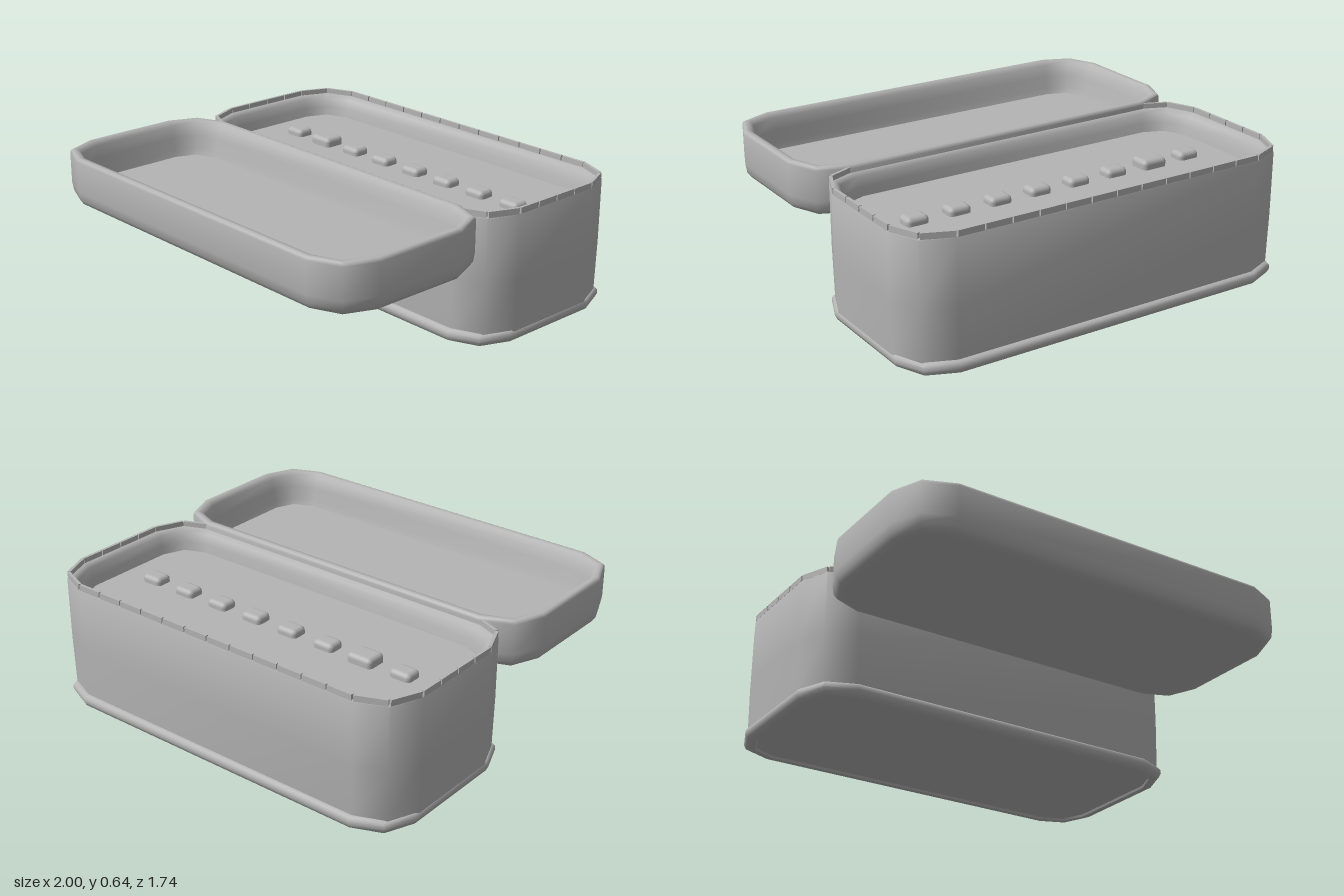
import * as THREE from 'three';
import { toCreasedNormals } from 'three/addons/utils/BufferGeometryUtils.js';
import { RoundedBoxGeometry } from 'three/addons/geometries/RoundedBoxGeometry.js';

// Rectangle outline with two-facet corners, as [x, z] points
function outline(hx, hz, r) {
  const pts = [];
  for (let q = 0; q < 4; q++) {
    const sx = q === 0 || q === 3 ? 1 : -1, sz = q < 2 ? 1 : -1;
    for (let k = 0; k <= 2; k++) {
      const a = (q + k / 2) * Math.PI / 2;
      pts.push([sx * (hx - r) + r * Math.cos(a), sz * (hz - r) + r * Math.sin(a)]);
    }
  }
  return pts;
}

// Closed shell from [inset, y] rings, running from the underside round to the floor
function shell(hx, hz, r, profile) {
  const pos = [], idx = [], n = 12, last = profile.length - 1;
  for (const [inset, y] of profile)
    for (const [x, z] of outline(hx - inset, hz - inset, r - inset * 0.8)) pos.push(x, y, z);
  for (let j = 0; j < last; j++)
    for (let i = 0; i < n; i++) {
      const a = j * n + i, b = j * n + (i + 1) % n;
      idx.push(a, a + n, b, b, a + n, b + n);
    }
  const c0 = pos.length / 3, c1 = c0 + 1;
  pos.push(0, profile[0][1], 0, 0, profile[last][1], 0);
  for (let i = 0; i < n; i++) {
    const k = (i + 1) % n;
    idx.push(c0, i, k, c1, last * n + k, last * n + i);
  }
  const g = new THREE.BufferGeometry();
  g.setAttribute('position', new THREE.Float32BufferAttribute(pos, 3));
  g.setIndex(idx);
  return toCreasedNormals(g, 0.87);
}

export function createModel() {
  const model = new THREE.Group();
  const metal = new THREE.MeshStandardMaterial({ color: 0xb4b4b4 });
  metal.name = 'plain grey';
  const add = (name, geometry, x, y, z, parent = model) => {
    const mesh = new THREE.Mesh(geometry, metal);
    mesh.name = name;
    mesh.position.set(x, y, z);
    parent.add(mesh);
    return mesh;
  };
  const boxZ = -0.41;

  // Box body with a shallow inner tray
  add('boxBody', shell(0.98, 0.437, 0.2, [
    [0.03, 0.02], [0.005, 0.04], [0, 0.3], [0, 0.595], [0.004, 0.602],
    [0.028, 0.602], [0.045, 0.585], [0.06, 0.54], [0.068, 0.5],
  ]), 0, 0, boxZ);

  // Rounded bead round the foot, with a recessed underside
  add('baseBead', shell(0.982, 0.46, 0.2, [
    [0.06, 0.012], [0.055, 0.002], [0.035, 0], [0.012, 0.01], [0.002, 0.03],
    [0.004, 0.048], [0.012, 0.058], [0.03, 0.062],
  ]), 0, 0, boxZ);

  // Thin lip on the rim, broken by small slits
  const lip = new THREE.Group();
  lip.name = 'rimLip';
  lip.position.z = boxZ;
  model.add(lip);
  const path = outline(0.972, 0.429, 0.194);
  path.forEach(([x, z], i) => {
    const [x2, z2] = path[(i + 1) % path.length];
    const length = Math.hypot(x2 - x, z2 - z);
    const count = Math.max(1, Math.round(length / 0.13));
    for (let k = 0; k < count; k++) {
      const t = (k + 0.5) / count;
      const tab = add('lipTab', new THREE.BoxGeometry(length / count - 0.006, 0.028, 0.014),
        x + (x2 - x) * t, 0.612, z + (z2 - z) * t, lip);
      tab.rotation.y = -Math.atan2(z2 - z, x2 - x);
    }
  });

  // Open lid, lying upside down in front of the box
  add('lid', shell(1, 0.435, 0.205, [
    [0.05, 0.405], [0.022, 0.412], [0.006, 0.435], [0, 0.475], [0, 0.62], [0.004, 0.632],
    [0.015, 0.637], [0.035, 0.634], [0.05, 0.615], [0.065, 0.56], [0.078, 0.5], [0.087, 0.47],
  ]), 0, 0, 0.435);

  // Row of small sweets on the tray; the second is larger
  for (let i = 0; i < 8; i++) {
    const big = i === 1;
    add('sweet', new RoundedBoxGeometry(big ? 0.13 : 0.108, big ? 0.07 : 0.055, big ? 0.105 : 0.085, 3, 0.022),
      -0.715 + i * 0.206, 0.508, -0.415);
  }
  return model;
}
